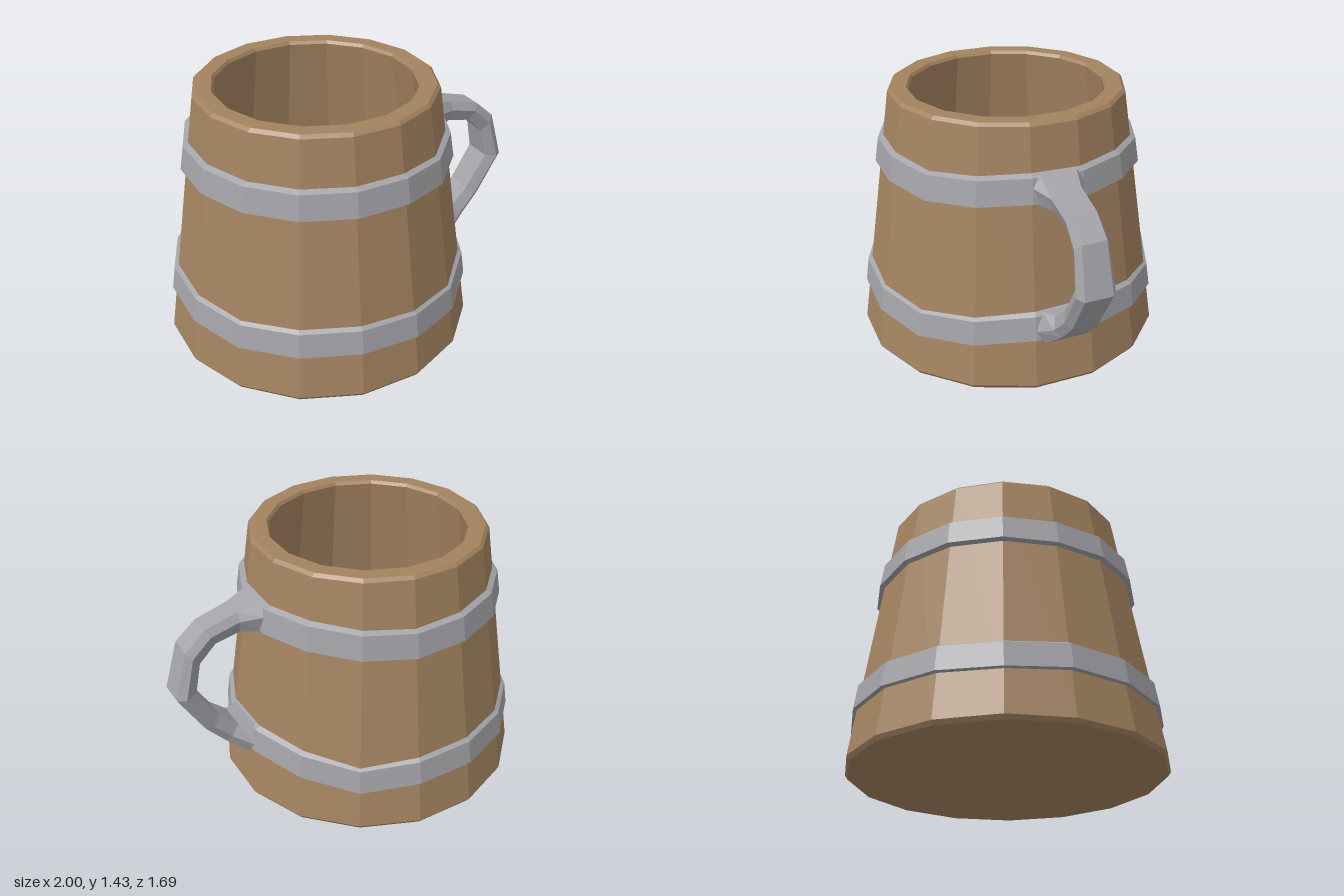
import * as THREE from 'three';

const SIDES = 16;
const CENTER_X = -0.155;
const PHI_START = THREE.MathUtils.degToRad(14.9);
const HANDLE_PHI = THREE.MathUtils.degToRad(71.15);

// Faceted copy of a geometry
function faceted(geo) {
  const flat = geo.index ? geo.toNonIndexed() : geo;
  flat.computeVertexNormals();
  return flat;
}

// Sixteen-sided ring from an [r, y] profile, with an optional height offset per side corner
function turned(name, profile, material, offsets) {
  const geo = new THREE.LatheGeometry(
    profile.map(([r, y]) => new THREE.Vector2(r, y)), SIDES, PHI_START);
  if (offsets) {
    const pos = geo.attributes.position;
    for (let i = 0; i < pos.count; i++) {
      const corner = Math.floor(i / profile.length) % SIDES;
      pos.setY(i, pos.getY(i) + offsets[corner]);
    }
  }
  const mesh = new THREE.Mesh(faceted(geo), material);
  mesh.name = name;
  return mesh;
}

// Handle swept through six-cornered sections: [outer r, outer y, inner r, inner y, half width]
function handle(sections, material) {
  const s = Math.sin(HANDLE_PHI), c = Math.cos(HANDLE_PHI);
  const positions = [], index = [];
  for (const [ro, yo, ri, yi, hw] of sections) {
    const corners = [[0, -0.72], [0, 0.72], [0.4, 1], [1, 0.75], [1, -0.75], [0.4, -1]];
    for (const [depth, side] of corners) {
      const r = ro + (ri - ro) * depth, y = yo + (yi - yo) * depth, t = side * hw;
      positions.push(r * s + t * c, y, r * c - t * s);
    }
  }
  for (let i = 0; i < sections.length - 1; i++) {
    for (let j = 0; j < 6; j++) {
      const a = i * 6 + j, b = i * 6 + (j + 1) % 6;
      index.push(a, a + 6, b, b, a + 6, b + 6);
    }
  }
  const geo = new THREE.BufferGeometry();
  geo.setAttribute('position', new THREE.Float32BufferAttribute(positions, 3));
  geo.setIndex(index);
  const mesh = new THREE.Mesh(faceted(geo), material);
  mesh.name = 'handle';
  return mesh;
}

export function createModel() {
  const wood = new THREE.MeshStandardMaterial({ color: 0xa38360 });
  wood.name = 'wood';
  const metal = new THREE.MeshStandardMaterial({ color: 0xa3a3a8 });
  metal.name = 'metal';

  const group = new THREE.Group();
  group.name = 'tankard';
  const mug = new THREE.Group();
  mug.name = 'mug';
  mug.position.x = CENTER_X;
  group.add(mug);

  // Hollow tapered body: base, outer wall, bevelled rim, flared inside, floor
  mug.add(turned('body', [
    [0, 0], [0.84, 0], [0.855, 0.022], [0.645, 1.41], [0.628, 1.427],
    [0.545, 1.427], [0.533, 1.41], [0.72, 0.12], [0, 0.12],
  ], wood));

  // Metal bands, slightly uneven
  mug.add(turned('lowerBand', [
    [0.8, 0.262], [0.838, 0.272], [0.818, 0.405], [0.785, 0.425],
  ], metal, [-0.03, -0.005, 0.025, 0.035, 0.015, -0.03, 0, 0.005, 0, -0.01, 0.005, 0, -0.01, 0, 0, -0.015]));
  mug.add(turned('upperBand', [
    [0.69, 1.005], [0.733, 1.018], [0.711, 1.152], [0.67, 1.172],
  ], metal, [-0.015, 0, 0.015, 0.01, 0.015, 0, -0.01, 0, 0.005, 0, -0.005, 0, 0, 0, 0, 0]));

  // Handle, flared where it meets the bands
  mug.add(handle([
    [0.69, 1.18, 0.715, 1.02, 0.14],
    [0.82, 1.145, 0.81, 1.03, 0.09],
    [1.0, 1.095, 0.95, 1.0, 0.088],
    [1.115, 0.995, 1.045, 0.91, 0.092],
    [1.19, 0.73, 1.085, 0.74, 0.105],
    [1.05, 0.49, 0.965, 0.545, 0.1],
    [0.95, 0.38, 0.87, 0.46, 0.11],
    [0.835, 0.28, 0.79, 0.45, 0.16],
  ], metal));

  return group;
}
